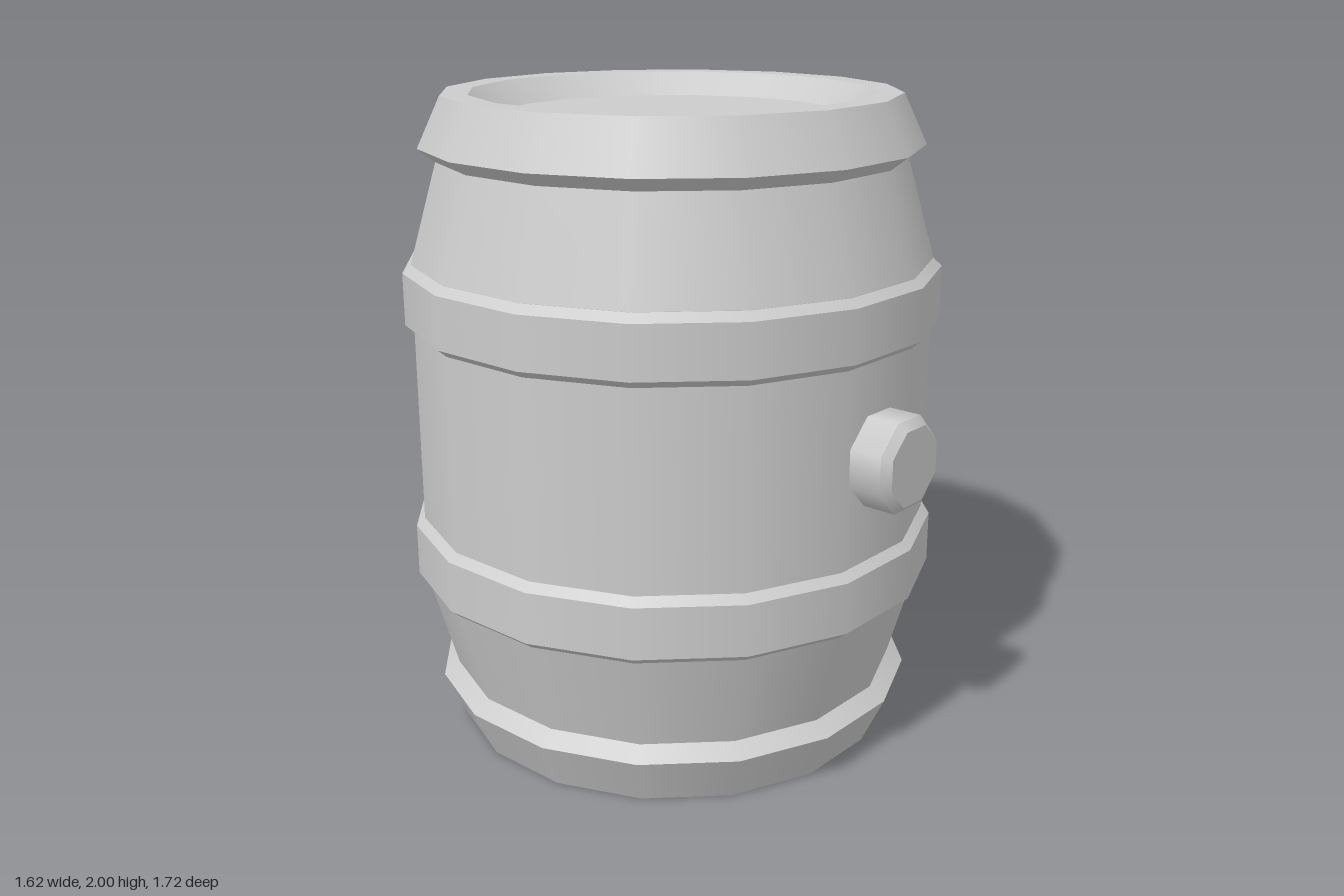
import * as THREE from 'three';
import { mergeGeometries } from 'three/addons/utils/BufferGeometryUtils.js';

const material = new THREE.MeshStandardMaterial({ color: 0xcccccc, side: THREE.DoubleSide });

// Revolve a profile of [flat-to-centre radius, y], smooth around and sharp between rings.
function turned(name, profile, sides) {
  const k = 1 / Math.cos(Math.PI / sides);
  const pts = profile.map(([r, y]) => new THREE.Vector2(r * k, y));
  const strips = [];
  for (let i = 0; i < pts.length - 1; i++) {
    strips.push(new THREE.LatheGeometry([pts[i], pts[i + 1]], sides, Math.PI / sides));
  }
  const mesh = new THREE.Mesh(mergeGeometries(strips), material);
  mesh.name = name;
  return mesh;
}

export function createModel() {
  const group = new THREE.Group();
  group.name = 'barrel';

  // Barrel, shifted back so that the plug's reach is centred
  const cask = new THREE.Group();
  cask.name = 'cask';
  cask.position.z = -0.048;
  group.add(cask);

  // Bulging staves
  cask.add(turned('staves', [
    [0.70, 0.19], [0.785, 0.50], [0.785, 1.51], [0.70, 1.81],
  ], 16));

  // Middle hoops
  for (const [name, y] of [['lowerHoop', 0.495], ['upperHoop', 1.30]]) {
    cask.add(turned(name, [
      [0.78, y], [0.811, y + 0.027], [0.811, y + 0.185], [0.782, y + 0.212],
    ], 16));
  }

  // End hoops with rim and recessed head
  cask.add(turned('bottomEnd', [
    [0, 0.07], [0.52, 0.07], [0.60, 0], [0.68, 0], [0.75, 0.155], [0.70, 0.195],
  ], 16));
  cask.add(turned('topEnd', [
    [0.70, 1.81], [0.75, 1.85], [0.68, 2], [0.60, 2], [0.52, 1.93], [0, 1.93],
  ], 16));

  // Octagonal bung on the front
  const bung = turned('bung', [
    [0.135, 0], [0.135, 0.14], [0.112, 0.165], [0, 0.165],
  ], 8);
  bung.rotation.x = Math.PI / 2;
  bung.position.set(0, 1.015, 0.70);
  group.add(bung);

  return group;
}
